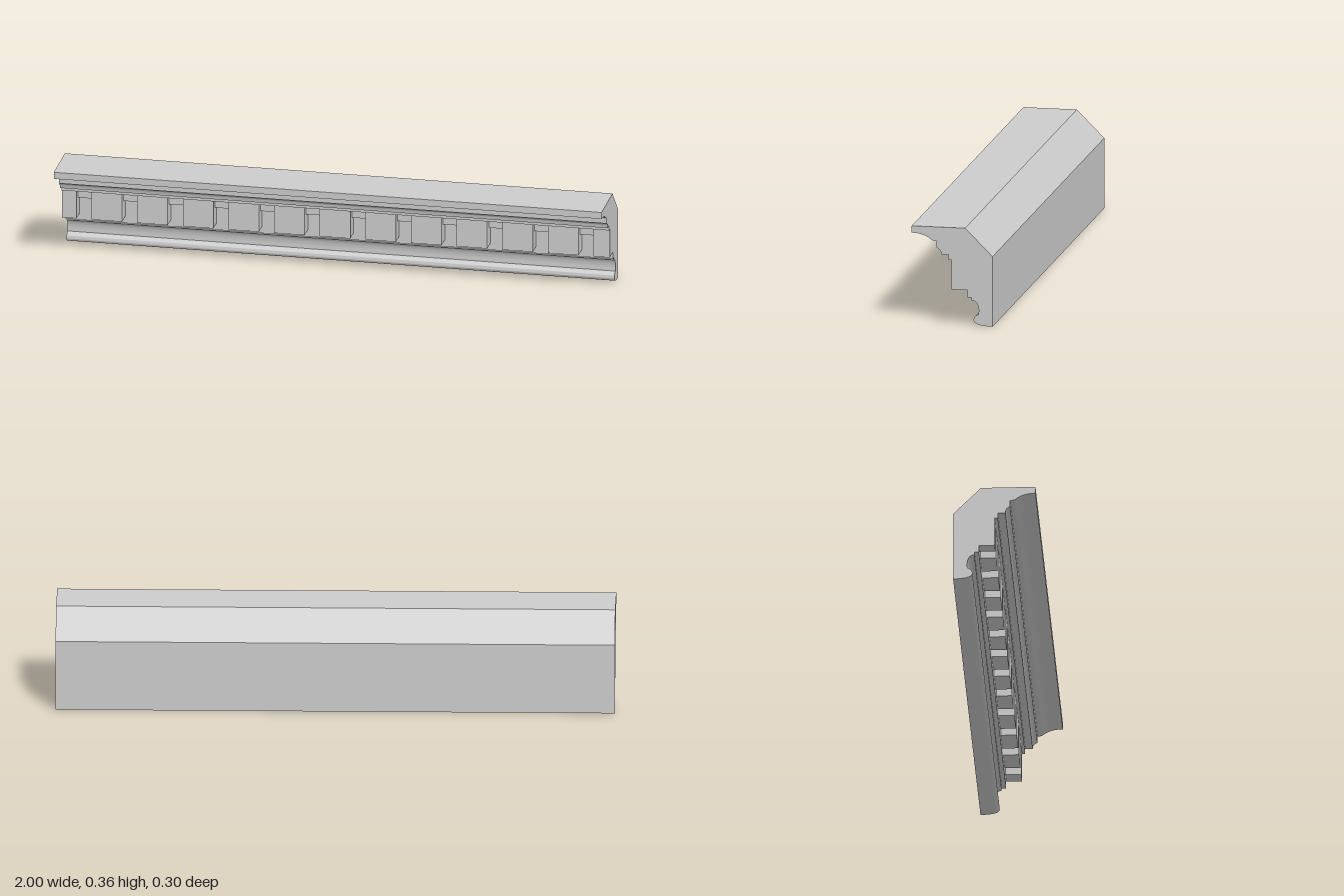
import * as THREE from 'three';
import { toCreasedNormals } from 'three/addons/utils/BufferGeometryUtils.js';

const LENGTH = 2;
const PITCH = 1 / 6;        // spacing of the gaps between dentils
const GAP = 0.055;
const FIRST_GAP = -0.92;    // centre of the first gap
const GAPS = 12;
const DENTIL = { bottom: 0.13, top: 0.238, back: -0.055, front: 0.002 };

// Moulding section; shape x is -z, so that turning it by 90 degrees runs it along x
function mouldingShape() {
  const s = new THREE.Shape();
  const line = (z, y) => s.lineTo(-z, y);
  const curve = (z1, y1, z2, y2, z, y) => s.bezierCurveTo(-z1, y1, -z2, y2, -z, y);
  s.moveTo(0.147, 0);
  line(-0.147, 0.257);
  line(-0.047, 0.357);
  line(0.148, 0.357);
  line(0.148, 0.332);
  // ogee under the top lip
  curve(0.118, 0.332, 0.095, 0.325, 0.078, 0.311);
  curve(0.072, 0.307, 0.065, 0.305, 0.057, 0.305);
  line(0.057, 0.281);
  // small quarter round
  curve(0.047, 0.277, 0.040, 0.271, 0.040, 0.257);
  line(0.013, 0.257);
  line(0.013, DENTIL.top);
  // recessed band behind the dentils
  line(DENTIL.back, DENTIL.top);
  line(DENTIL.back, 0.104);
  line(-0.071, 0.104);
  line(-0.071, 0.094);
  // lower cove
  curve(-0.088, 0.094, -0.096, 0.08, -0.097, 0.057);
  line(-0.096, 0.042);
  // bottom bead
  curve(-0.086, 0.041, -0.078, 0.033, -0.078, 0.022);
  curve(-0.078, 0.007, -0.098, 0.002, -0.147, 0);
  return s;
}

export function createModel() {
  const group = new THREE.Group();
  const material = new THREE.MeshStandardMaterial({ color: 0xcccccc });
  const add = (name, geometry) => {
    const mesh = new THREE.Mesh(geometry, material);
    mesh.name = name;
    group.add(mesh);
    return mesh;
  };
  const block = (name, x0, x1, y0, y1, z0, z1) =>
    add(name, new THREE.BoxGeometry(x1 - x0, y1 - y0, z1 - z0))
      .position.set((x0 + x1) / 2, (y0 + y1) / 2, (z0 + z1) / 2);

  // Continuous moulding
  const body = new THREE.ExtrudeGeometry(mouldingShape(), {
    depth: LENGTH, bevelEnabled: false, curveSegments: 12,
  });
  body.translate(0, 0, -LENGTH / 2).rotateY(Math.PI / 2);
  add('moulding', toCreasedNormals(body, 0.6));

  // Dentils, with a shallow bridge at the top of every gap
  let start = -LENGTH / 2;
  for (let i = 0; i <= GAPS; i++) {
    const gapStart = FIRST_GAP + i * PITCH - GAP / 2;
    const end = i < GAPS ? gapStart : LENGTH / 2;
    block('dentil', start, end, DENTIL.bottom, DENTIL.top, DENTIL.back, DENTIL.front);
    if (i < GAPS) {
      block('dentilBridge', end, end + GAP, 0.2, DENTIL.top, DENTIL.back, -0.025);
    }
    start = end + GAP;
  }
  return group;
}
